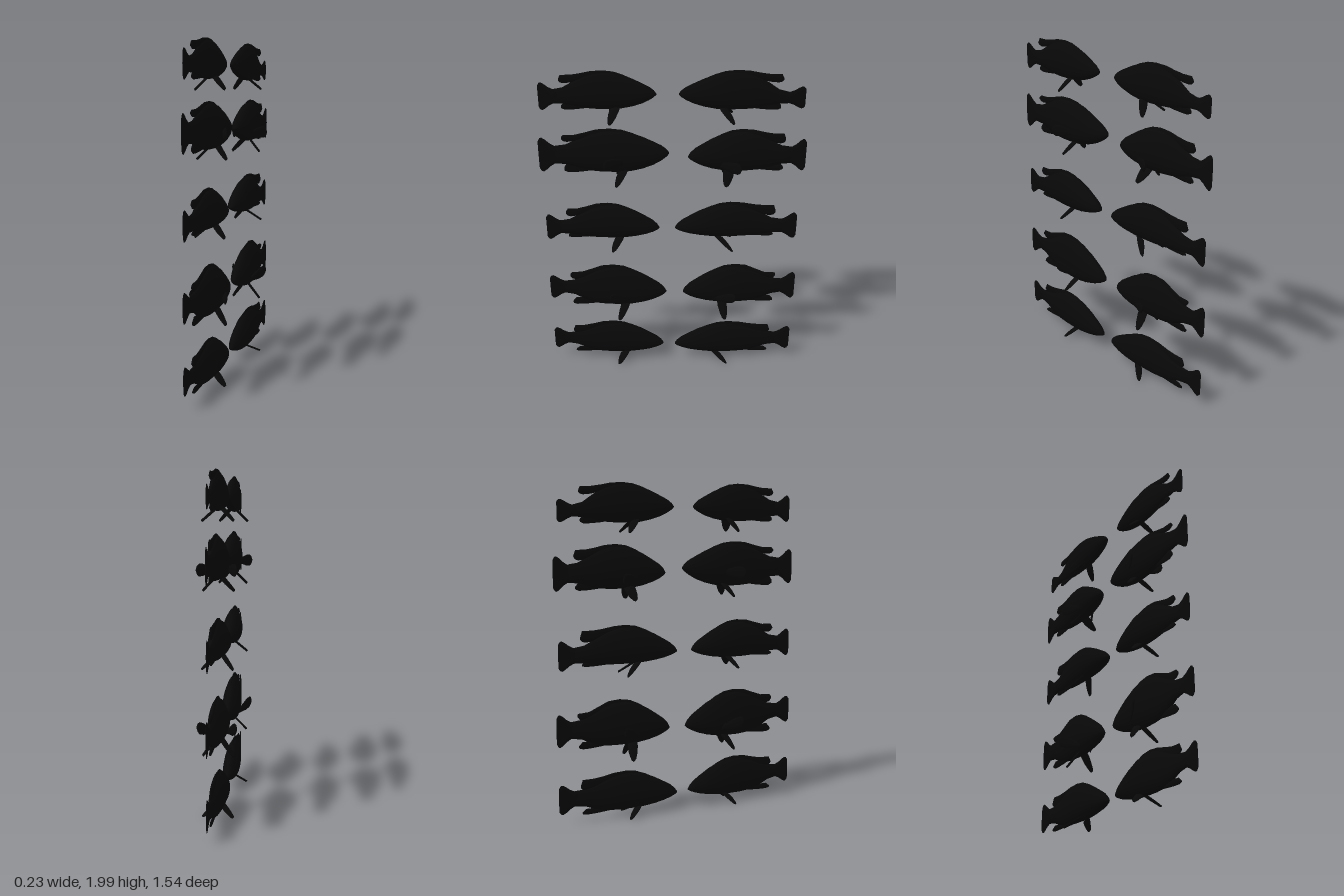
import * as THREE from 'three';

const black = new THREE.MeshStandardMaterial({ color: 0x080808 });
black.name = 'black';

const V = (x, y, z) => new THREE.Vector3(x, y, z);
const lerp = THREE.MathUtils.lerp;

// Closed skin over elliptical sections { c: centre, a, b: half axes, egg: narrowing towards +b }
function loft(name, sections, sides) {
  const pos = [], idx = [], n = sections.length;
  for (const { c, a, b, egg = 0 } of sections) {
    for (let j = 0; j < sides; j++) {
      const t = (j / sides) * Math.PI * 2, s = Math.sin(t);
      const p = c.clone().addScaledVector(a, Math.cos(t) * (1 - egg * s)).addScaledVector(b, s);
      pos.push(p.x, p.y, p.z);
    }
  }
  const first = sections[0], last = sections[n - 1], mid = sections[n >> 1];
  pos.push(...first.c.toArray(), ...last.c.toArray());
  const along = last.c.clone().sub(first.c);
  const flip = mid.a.clone().cross(mid.b).dot(along) > 0;
  const tri = (p, q, r) => (flip ? idx.push(p, r, q) : idx.push(p, q, r));
  for (let j = 0; j < sides; j++) {
    const k = (j + 1) % sides;
    for (let i = 0; i < n - 1; i++) {
      const o = i * sides, m = o + sides;
      tri(o + j, m + j, o + k);
      tri(o + k, m + j, m + k);
    }
    tri(n * sides, j, k);
    tri(n * sides + 1, (n - 1) * sides + k, (n - 1) * sides + j);
  }
  const g = new THREE.BufferGeometry();
  g.setAttribute('position', new THREE.Float32BufferAttribute(pos, 3));
  g.setIndex(idx);
  g.computeVertexNormals();
  const mesh = new THREE.Mesh(g, black);
  mesh.name = name;
  return mesh;
}

// Upright section between two heights
const slice = (z, top, bottom, w, egg) => ({
  c: V(0, (top + bottom) / 2, z), a: V(w, 0, 0), b: V(0, (top - bottom) / 2, 0), egg,
});

// Station along the fish, rise above nose, drop below nose, width, blend to tail root
const BODY = [
  [0, 0.03, 0.03, 0.1, 0], [0.02, 0.16, 0.18, 0.35, 0], [0.06, 0.31, 0.38, 0.58, 0],
  [0.12, 0.46, 0.6, 0.78, 0], [0.2, 0.65, 0.8, 0.93, 0], [0.3, 0.84, 0.96, 1, 0],
  [0.4, 0.92, 1, 0.96, 0], [0.5, 0.91, 1, 0.86, 0], [0.6, 0.82, 0.96, 0.7, 0.05],
  [0.7, 0.68, 0.85, 0.5, 0.3], [0.79, 0.6, 0.7, 0.35, 0.8], [0.87, 0.5, 0.6, 0.2, 1],
];
// Station, crest, foot, blend to the rear lobe height
const DORSAL = [
  [0.2, 0.64, 0.5, 0], [0.28, 0.82, 0.6, 0], [0.36, 0.95, 0.6, 0], [0.45, 1, 0.6, 0],
  [0.55, 0.97, 0.6, 0], [0.64, 0.92, 0.6, 0.4], [0.72, 0.85, 0.5, 0.9], [0.78, 0.8, 0.47, 1],
  [0.805, 0.77, 0.5, 1], [0.82, 0.66, 0.58, 0],
];
const ANAL = [[0.56, 0.9], [0.64, 0.99], [0.72, 1.05], [0.78, 1.06], [0.81, 0.95]];
const TAIL = [
  [0.84, 0.45], [0.88, 0.52], [0.915, 0.68], [0.945, 0.88], [0.97, 1], [0.985, 0.97], [1, 0.78],
];

// One fish facing +z, its nose and tail at z = -nose and z = -tail
function makeFish({ nose, tail, noseY, top, belly, tailTop, tailBottom, width, tip, lobe, pectorals }) {
  const fish = new THREE.Group();
  const z = (s) => -lerp(nose, tail, s);
  const up = (u) => noseY + u * (top - noseY);
  const down = (v) => noseY - v * (noseY - belly);
  const tailY = (tailTop + tailBottom) / 2, tailH = (tailTop - tailBottom) / 2;

  fish.add(loft('body', BODY.map(([s, u, v, w, k]) => slice(
    z(s), lerp(up(u), tailY + tailH * 0.5, k), lerp(down(v), tailY - tailH * 0.5, k),
    w * width, 0.22)), 20));
  fish.add(loft('dorsalFin', DORSAL.map(([s, u, l, k]) =>
    slice(z(s), lerp(up(u), lobe, k), up(l), 0.007)), 10));
  fish.add(loft('analFin', ANAL.map(([s, v]) =>
    slice(z(s), down(s > 0.8 ? 0.75 : 0.45), down(v), 0.006)), 10));
  fish.add(loft('tailFin', TAIL.map(([s, f]) =>
    slice(z(s), tailY + tailH * f, tailY - tailH * f, lerp(0.012, 0.003, (s - 0.84) / 0.16))), 10));

  for (const side of [1, -1]) {
    // Pelvic fins sweep out, down and back
    const root = V(side * 0.018, down(0.82), z(0.35));
    const end = V(side * 0.09, tip[1] + 0.006, -tip[0] + 0.008);
    fish.add(loft(side > 0 ? 'leftPelvicFin' : 'rightPelvicFin',
      [[0, 0.032], [0.35, 0.032], [0.7, 0.024], [0.92, 0.015], [1, 0.006]].map(([t, r]) => ({
        c: root.clone().lerp(end, t),
        a: V(0, r * 0.35, r * 0.95), b: V(side * 0.005, 0.005, 0),
      })), 10));
    if (!pectorals) continue;
    // Pectoral fins fan out from the flanks
    const shoulder = V(side * 0.04, noseY - 0.03, -0.26);
    const edge = V(side * 0.112, noseY + pectorals, -0.39);
    fish.add(loft(side > 0 ? 'leftPectoralFin' : 'rightPectoralFin',
      [[0, 0.014], [0.3, 0.022], [0.6, 0.034], [0.85, 0.036], [0.96, 0.026], [1, 0.012]].map(([t, r]) => ({
        c: shoulder.clone().lerp(edge, t), a: V(0, r, 0), b: V(side * 0.005, 0, 0.003),
      })), 10));
  }
  return fish;
}

const KEYS = ['nose', 'tail', 'noseY', 'top', 'belly', 'tailTop', 'tailBottom', 'lobe'];
const ROWS = [
  { width: 0.045, tipY: 1.71,
    front: [0.035, 0.74, 1.86, 2, 1.77, 1.905, 1.77, 1.975],
    back: [0.09, 0.745, 1.86, 2, 1.775, 1.935, 1.765, 1.975], tips: [0.345, 0.355] },
  { width: 0.06, tipY: 1.32, pectorals: -0.03,
    front: [0.09, 0.77, 1.475, 1.65, 1.39, 1.59, 1.38, 1.62],
    back: [0.02, 0.77, 1.5, 1.655, 1.385, 1.605, 1.38, 1.615], tips: [0.315, 0.33] },
  { width: 0.058, tipY: 0.877,
    front: [0.015, 0.75, 1, 1.178, 0.945, 1.105, 0.92, 1.155],
    back: [0.08, 0.76, 1, 1.175, 0.94, 1.1, 0.92, 1.135], tips: [0.365, 0.365] },
  { width: 0.055, tipY: 0.365, pectorals: 0.02,
    front: [0.065, 0.77, 0.53, 0.735, 0.455, 0.675, 0.47, 0.67],
    back: [0.04, 0.77, 0.53, 0.735, 0.44, 0.66, 0.48, 0.68], tips: [0.335, 0.34] },
  { width: 0.05, tipY: 0.005,
    front: [0.015, 0.765, 0.11, 0.29, 0.05, 0.25, 0.06, 0.265],
    back: [0.06, 0.77, 0.115, 0.3, 0.055, 0.25, 0.08, 0.265], tips: [0.355, 0.355] },
];

export function createModel() {
  const model = new THREE.Group();
  model.name = 'fishColumn';
  // Five rows of two fish, nose to nose
  ROWS.forEach((row, r) => ['front', 'back'].forEach((facing, i) => {
    const spec = { width: row.width, pectorals: row.pectorals, tip: [row.tips[i], row.tipY] };
    KEYS.forEach((key, k) => { spec[key] = row[facing][k]; });
    const fish = makeFish(spec);
    fish.name = `${facing}FacingFish${r + 1}`;
    if (facing === 'back') fish.rotation.y = Math.PI;
    model.add(fish);
  }));
  return model;
}
